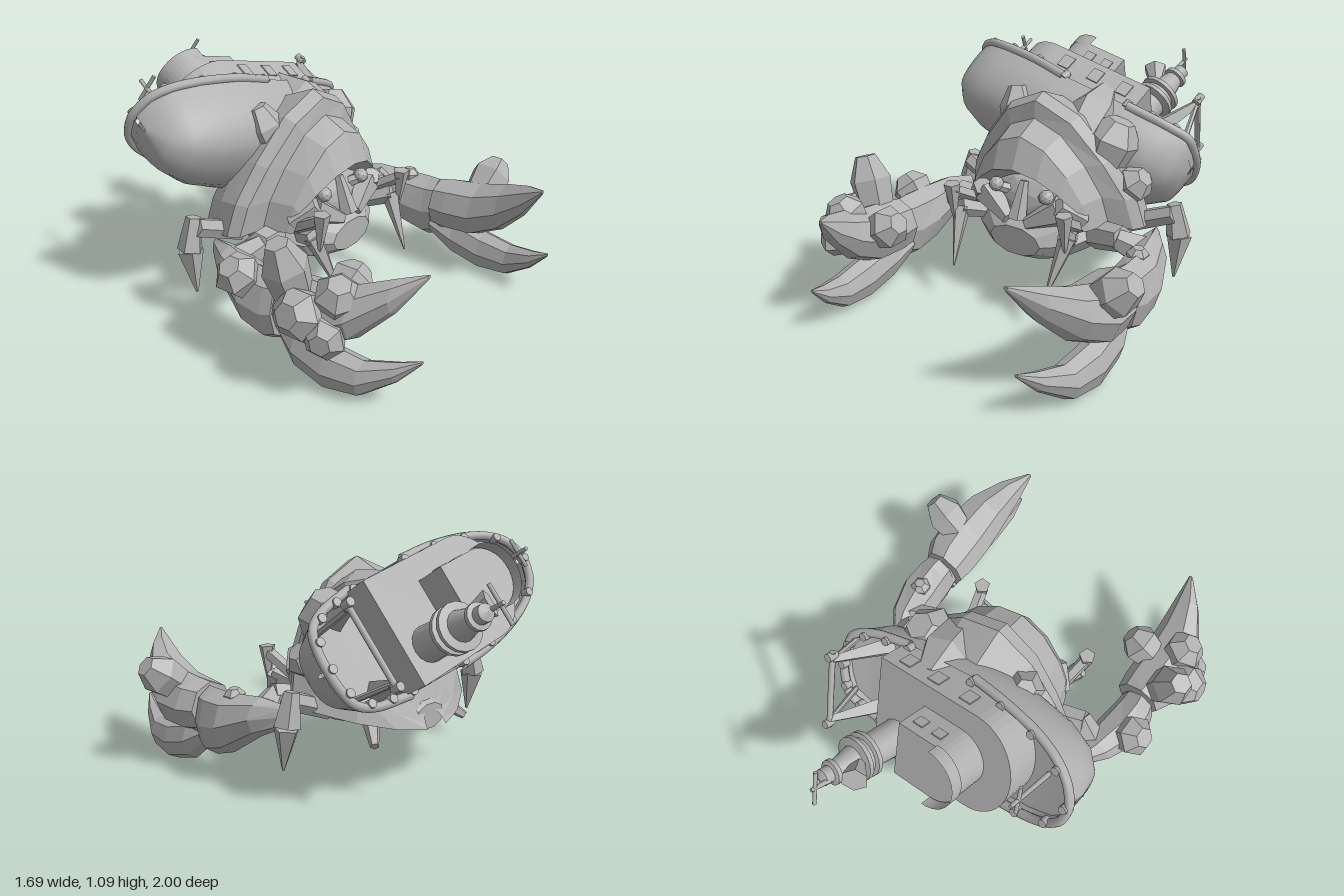
import * as THREE from 'three';

const grey = new THREE.MeshStandardMaterial({ color: 0xb2b2b2, side: THREE.DoubleSide });
grey.name = 'stone grey';

const V = (x, y, z) => new THREE.Vector3(x, y, z);

function add(parent, name, geo, flat = true) {
  let g = geo;
  if (flat) {
    g = geo.index ? geo.toNonIndexed() : geo;
    g.computeVertexNormals();
  }
  const m = new THREE.Mesh(g, grey);
  m.name = name;
  parent.add(m);
  return m;
}

// Skin joining rows of points; closed rows wrap round and get end caps
function skin(rows, closed) {
  const n = rows[0].length, pos = [], idx = [];
  rows.forEach(r => r.forEach(p => pos.push(p.x, p.y, p.z)));
  for (let i = 0; i + 1 < rows.length; i++)
    for (let j = 0; j < (closed ? n : n - 1); j++) {
      const k = (j + 1) % n, a = i * n + j, b = i * n + k;
      idx.push(a, b, a + n, b, b + n, a + n);
    }
  if (closed) {
    const e = (rows.length - 1) * n;
    for (let j = 1; j + 1 < n; j++) idx.push(0, j + 1, j, e, e + j, e + j + 1);
  }
  const g = new THREE.BufferGeometry();
  g.setAttribute('position', new THREE.Float32BufferAttribute(pos, 3));
  g.setIndex(idx);
  g.computeVertexNormals();
  return g;
}

// Faceted solid along z; stations are [x, y, z, rx, ry]
function loft(stations, side = 1, n = 8) {
  return skin(stations.map(([x, y, z, rx, ry]) => Array.from({ length: n }, (_, j) => {
    const t = j / n * Math.PI * 2;
    return V(x * side + Math.cos(t) * rx, y + Math.sin(t) * ry, z);
  })), true);
}

// Tapered rod between two points
function rod(parent, name, a, b, ra, rb, n = 6, flat = true) {
  const d = b.clone().sub(a);
  const m = add(parent, name, new THREE.CylinderGeometry(rb, ra, d.length(), n), flat);
  m.position.copy(a).addScaledVector(d, 0.5);
  m.quaternion.setFromUnitVectors(V(0, 1, 0), d.normalize());
  return m;
}

function barnacle(parent, x, y, z, dx, dy, dz, r, h) {
  const a = V(x, y, z), d = V(dx, dy, dz).normalize();
  const mid = a.clone().addScaledVector(d, h * 0.55), tip = a.clone().addScaledVector(d, h);
  rod(parent, 'barnacleBase', a, mid, r * 0.85, r, 6);
  rod(parent, 'barnacleTop', mid, tip, r, r * 0.5, 6);
}

function buildBody(root) {
  const crab = new THREE.Group();
  crab.name = 'crabBody';
  root.add(crab);
  // Carapace: faceted arches [z, half width, foot y, top y, forward peak, sharpness]
  const arches = [
    [0.08, 0.24, 0.42, 0.58, 0, 0.15], [0.2, 0.28, 0.42, 0.65, 0.02, 0.15], [0.225, 0.31, 0.42, 0.68, 0.055, 0.15],
    [0.2, 0.325, 0.42, 0.82, 0.02, 0.2], [0.09, 0.36, 0.42, 0.875, 0.02, 0.25], [0.04, 0.46, 0.4, 0.955, 0.06, 0.35],
    [-0.01, 0.49, 0.4, 0.985, 0.05, 0.35], [-0.12, 0.46, 0.38, 0.92, 0, 0.3], [-0.27, 0.35, 0.34, 0.72, 0, 0.15],
    [-0.37, 0.2, 0.3, 0.5, 0, 0.15], [-0.42, 0.06, 0.28, 0.36, 0, 0.15]
  ];
  add(crab, 'carapace', skin(arches.map(([z, w, yb, yt, pk, sh]) => Array.from({ length: 9 }, (_, j) => {
    const t = j / 8 * Math.PI, s = Math.sin(t);
    return V(Math.cos(t) * w, yb + (yt - yb) * ((1 - sh) * s + sh * s ** 4), z + pk * s ** 3 - 0.05 * (1 - s));
  })), false));
  add(crab, 'belly', loft([
    [0, 0.32, -0.43, 0.09, 0.06], [0, 0.35, -0.3, 0.22, 0.12], [0, 0.37, -0.1, 0.34, 0.14],
    [0, 0.36, 0.06, 0.32, 0.14], [0, 0.34, 0.19, 0.26, 0.12], [0, 0.33, 0.27, 0.14, 0.07]], 1, 10));
  // Face: inner head, beak and mouth parts
  const head = add(crab, 'head', new THREE.IcosahedronGeometry(1, 1));
  head.scale.set(0.25, 0.15, 0.12);
  head.position.set(0, 0.47, 0.1);
  rod(crab, 'beak', V(0, 0.6, 0.19), V(0, 0.43, 0.25), 0.02, 0.045, 5);
  for (const s of [-1, 1]) {
    rod(crab, 'eyeStalk', V(s * 0.07, 0.52, 0.15), V(s * 0.13, 0.55, 0.21), 0.03, 0.025, 6);
    const eye = add(crab, 'eye', new THREE.IcosahedronGeometry(0.035, 1));
    eye.position.set(s * 0.14, 0.56, 0.215);
    rod(crab, 'mandible', V(s * 0.2, 0.5, 0.19), V(s * 0.05, 0.42, 0.25), 0.075, 0.03, 5);
    rod(crab, 'cheek', V(s * 0.27, 0.46, 0.14), V(s * 0.21, 0.54, 0.23), 0.07, 0.045, 5);
    // Small front legs
    rod(crab, 'frontLegUpper', V(s * 0.24, 0.38, 0.16), V(s * 0.3, 0.43, 0.29), 0.035, 0.045, 5);
    rod(crab, 'frontLegTip', V(s * 0.3, 0.43, 0.28), V(s * 0.26, 0.18, 0.4), 0.045, 0.004, 5);
    rod(crab, 'feelerUpper', V(s * 0.27, 0.42, 0.14), V(s * 0.31, 0.53, 0.33), 0.03, 0.03, 5);
    rod(crab, 'feelerTip', V(s * 0.31, 0.56, 0.33), V(s * 0.31, 0.38, 0.32), 0.04, 0.008, 5);
    // Rear legs
    rod(crab, 'rearLegUpper', V(s * 0.34, 0.36, -0.12), V(s * 0.59, 0.46, -0.15), 0.05, 0.045, 6);
    rod(crab, 'rearLegShin', V(s * 0.58, 0.5, -0.17), V(s * 0.61, 0.35, -0.17), 0.035, 0.06, 5);
    rod(crab, 'rearLegTip', V(s * 0.61, 0.35, -0.17), V(s * 0.61, 0.15, -0.14), 0.06, 0.006, 5);
    rod(crab, 'hindLeg', V(s * 0.2, 0.34, -0.25), V(s * 0.3, 0.24, -0.38), 0.05, 0.02, 5);
  }
  // Growths on the carapace
  barnacle(crab, -0.19, 0.74, -0.03, -0.2, 0.8, -0.25, 0.09, 0.21);
  barnacle(crab, 0.27, 0.68, -0.06, 0.25, 0.8, -0.2, 0.13, 0.2);
  barnacle(crab, 0.17, 0.77, 0, -0.1, 0.4, -0.8, 0.12, 0.33);
  barnacle(crab, 0.38, 0.56, -0.08, 0.6, 0.5, 0, 0.09, 0.12);
}

function buildArm(root, s) {
  const arm = new THREE.Group();
  arm.name = s > 0 ? 'leftArm' : 'rightArm';
  root.add(arm);
  rod(arm, 'shoulder', V(s * 0.3, 0.36, 0.05), V(s * 0.47, 0.4, 0.1), 0.07, 0.06, 6);
  rod(arm, 'elbow', V(s * 0.44, 0.4, 0.11), V(s * 0.56, 0.34, 0.05), 0.05, 0.08, 6);
  add(arm, 'forearm', loft([[0.54, 0.36, -0.08, 0.02, 0.05], [0.58, 0.34, 0.04, 0.08, 0.09],
    [0.615, 0.28, 0.2, 0.11, 0.14], [0.62, 0.26, 0.32, 0.1, 0.16], [0.615, 0.27, 0.37, 0.09, 0.15]], s));
  add(arm, 'wrist', loft([[0.61, 0.27, 0.34, 0.08, 0.1], [0.61, 0.27, 0.44, 0.09, 0.1]], s));
  add(arm, 'upperPincer', loft([[0.6, 0.31, 0.385, 0.11, 0.12], [0.615, 0.31, 0.46, 0.135, 0.13],
    [0.62, 0.32, 0.6, 0.14, 0.135], [0.6, 0.38, 0.74, 0.12, 0.12], [0.545, 0.47, 0.87, 0.07, 0.075],
    [0.485, 0.56, 0.97, 0.01, 0.01]], s));
  add(arm, 'lowerPincer', loft([[0.6, 0.2, 0.37, 0.07, 0.06], [0.63, 0.14, 0.48, 0.08, 0.1],
    [0.635, 0.1, 0.63, 0.08, 0.1], [0.62, 0.1, 0.78, 0.07, 0.08], [0.58, 0.16, 0.91, 0.045, 0.045],
    [0.55, 0.225, 1, 0.008, 0.008]], s));
}

// Block with a rounded bow end of length rx
function house(parent, name, x0, x1, rx, r, y, h) {
  const sh = new THREE.Shape();
  sh.moveTo(x1, -r).lineTo(x1, r).lineTo(x0, r);
  sh.absellipse(x0, 0, rx, r, Math.PI / 2, Math.PI * 1.5, false);
  const g = new THREE.ExtrudeGeometry(sh, { depth: h, bevelEnabled: false, curveSegments: 10 });
  add(parent, name, g.rotateX(-Math.PI / 2), false).position.y = y;
}

function cross(parent, x, y, z, h, w) {
  rod(parent, 'mastPole', V(x, y, z), V(x, y + h, z), 0.012, 0.009, 8, false);
  rod(parent, 'mastYard', V(x, y + h * 0.8, z - w), V(x, y + h * 0.8, z + w), 0.009, 0.009, 8, false);
}

function buildShip(root) {
  const ship = new THREE.Group();
  ship.name = 'ship';
  root.add(ship);
  // Ship axes: x to the stern, y up from the deck, z across
  const s = V(0.97, -0.24, 0).normalize(), u = V(0.123, 0.5, -0.857);
  u.addScaledVector(s, -u.dot(s)).normalize();
  const w = s.clone().cross(u);
  ship.quaternion.setFromRotationMatrix(new THREE.Matrix4().makeBasis(s, u, w));
  ship.position.set(-0.01, 0.73, -0.32);
  // Hull stations: [x, half beam, rim height, keel depth]
  const st = [[-0.7, 0.01, 0.1, 0], [-0.67, 0.1, 0.095, 0.14], [-0.6, 0.17, 0.08, 0.21],
    [-0.48, 0.225, 0.06, 0.25], [-0.28, 0.265, 0.04, 0.27], [-0.1, 0.275, 0.02, 0.27], [0.25, 0.26, 0.03, 0.25],
    [0.46, 0.22, 0.05, 0.21], [0.55, 0.17, 0.07, 0.15], [0.58, 0.09, 0.075, 0.06], [0.59, 0.01, 0.08, 0]];
  add(ship, 'hull', skin(st.map(([x, b, r, k]) => Array.from({ length: 17 }, (_, j) => {
    const t = j / 16 * Math.PI, c = Math.cos(t);
    return V(x, r - (r + k) * Math.sin(t) ** 0.9, Math.sign(c) * b * Math.abs(c) ** 0.75);
  })), false), false);
  add(ship, 'deck', skin(st.map(([x, b, r]) => [V(x, r - 0.05, -b * 0.97), V(x, r - 0.05, b * 0.97)]), false), false);
  // Gunwale round the bow and round the stern, open beside the deckhouse
  for (const end of [st.slice(0, 6).reverse(), st.slice(6)]) {
    const path = new THREE.CatmullRomCurve3([...end.map(([x, b, r]) => V(x, r, b)),
      ...end.slice().reverse().map(([x, b, r]) => V(x, r, -b))]);
    add(ship, 'gunwale', new THREE.TubeGeometry(path, 50, 0.021, 8), false);
    for (let i = 0; i < 9; i++) {
      const p = path.getPointAt(i / 8);
      rod(ship, 'bollard', V(p.x * 0.98, p.y - 0.01, p.z * 0.96), V(p.x * 0.98, p.y + 0.03, p.z * 0.96), 0.02, 0.02, 10, false);
    }
  }
  // Deckhouse, bridge and bridge screen
  house(ship, 'deckhouse', -0.25, 0.28, 0.21, 0.25, -0.03, 0.21);
  house(ship, 'bridge', -0.18, 0.02, 0.14, 0.14, 0.17, 0.17);
  add(ship, 'bridgeScreen', new THREE.CylinderGeometry(0.145, 0.145, 0.06, 16, 1, true, Math.PI, Math.PI), false)
    .position.set(-0.18, 0.36, 0);
  for (const z of [-1, 1]) {
    for (const x of [-0.15, 0.02, 0.18])
      add(ship, 'deckhouseWindow', new THREE.BoxGeometry(0.06, 0.07, 0.008)).position.set(x, 0.11, z * 0.252);
    for (const x of [-0.14, -0.04])
      add(ship, 'bridgeWindow', new THREE.BoxGeometry(0.05, 0.05, 0.008)).position.set(x, 0.27, z * 0.142);
    // Stern gallows legs
    rod(ship, 'gallowsLeg', V(0.38, 0, z * 0.17), V(0.48, 0.27, z * 0.17), 0.05, 0.02, 4);
    rod(ship, 'gallowsStay', V(0.54, 0.04, z * 0.15), V(0.48, 0.26, z * 0.17), 0.014, 0.012, 6);
    rod(ship, 'gallowsPulley', V(0.48, 0.25, z * 0.19), V(0.48, 0.3, z * 0.19), 0.02, 0.02, 8, false);
  }
  rod(ship, 'gallowsBar', V(0.48, 0.27, -0.21), V(0.48, 0.27, 0.21), 0.014, 0.014, 8, false);
  // Funnel tower with gallery, cap and horn
  const tower = new THREE.Group();
  tower.name = 'funnelTower';
  tower.position.set(0.14, 0.045, -0.11);
  tower.rotation.z = -0.08;
  ship.add(tower);
  const prof = [[0.085, 0.08], [0.075, 0.3], [0.105, 0.315], [0.105, 0.335], [0.085, 0.34], [0.085, 0.36],
    [0.105, 0.365], [0.105, 0.385], [0.068, 0.39], [0.045, 0.49], [0.058, 0.495], [0.058, 0.515],
    [0.038, 0.52], [0.038, 0.56], [0, 0.575]];
  for (let i = 0; i + 1 < prof.length; i++)
    add(tower, 'towerSection', new THREE.LatheGeometry(prof.slice(i, i + 2).map(p => new THREE.Vector2(...p)), 16), false);
  rod(tower, 'horn', V(-0.03, 0.38, 0.02), V(-0.11, 0.48, 0.02), 0.02, 0.06, 6);
  cross(tower, -0.03, 0.54, 0, 0.1, 0.09);
  cross(ship, -0.54, 0.02, 0.03, 0.27, 0.07);
}

export function createModel() {
  const root = new THREE.Group();
  root.name = 'hermitCrabWithShip';
  buildBody(root);
  buildShip(root);
  for (const s of [1, -1]) buildArm(root, s);
  // Growths on the arms and claws: [x, y, z, direction, radius, height]
  [[0.66, 0.39, 0.58, 0.8, 0.6, 0.05, 0.1, 0.19], [0.6, 0.38, 0.2, 0.1, 1, 0, 0.05, 0.06],
    [-0.66, 0.35, 0.19, -0.6, 0.7, 0, 0.1, 0.13], [-0.67, 0.4, 0.47, -0.3, 0.95, -0.1, 0.1, 0.25],
    [-0.7, 0.36, 0.56, -1, 0.3, 0, 0.11, 0.14], [-0.64, 0.4, 0.66, -0.3, 0.9, 0.3, 0.1, 0.13],
    [-0.52, 0.37, 0.6, 0.9, 0.5, 0, 0.1, 0.14], [-0.7, 0.3, 0.66, -0.9, 0, 0.3, 0.09, 0.1]
  ].forEach(b => barnacle(root, ...b));
  return root;
}
